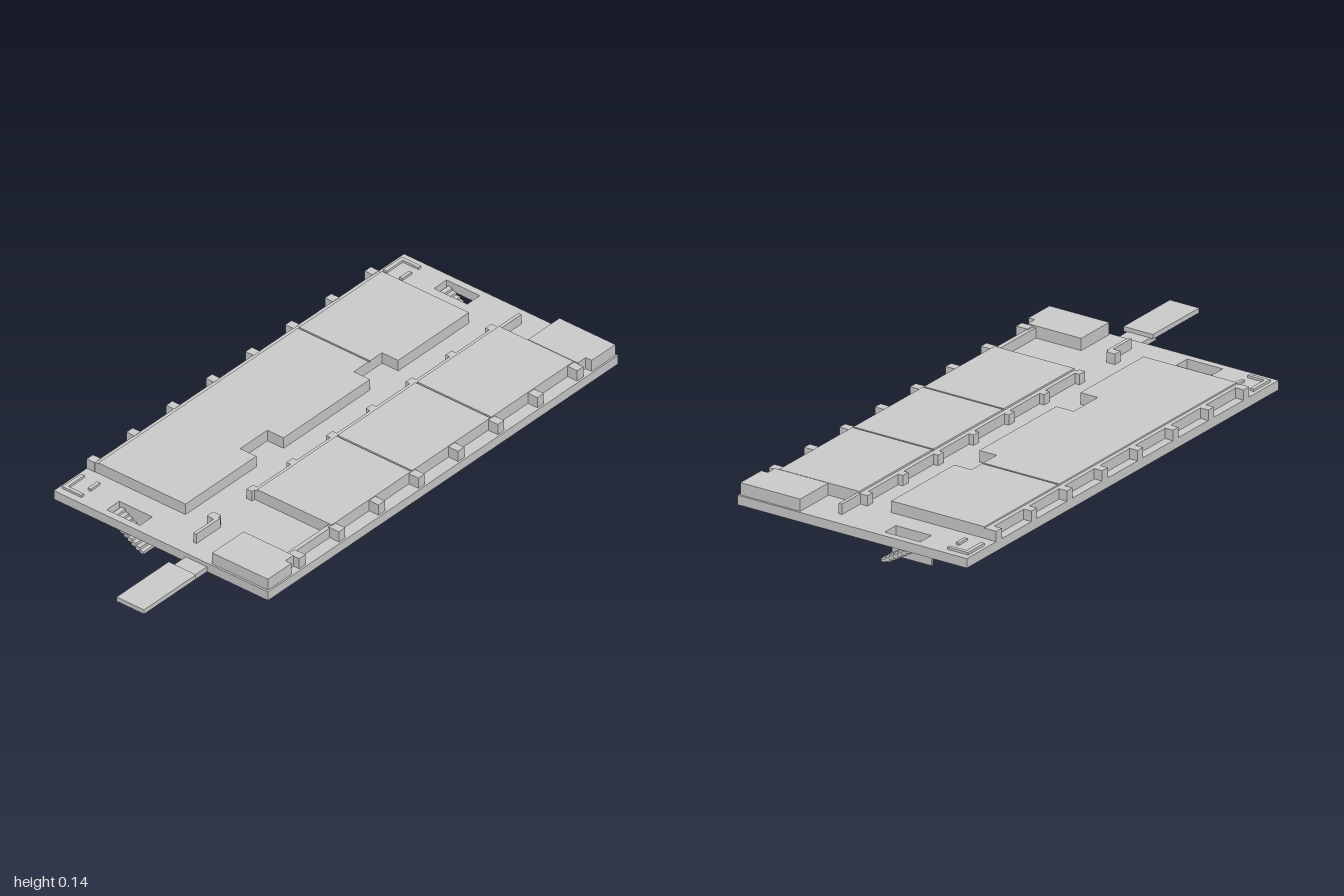
import * as THREE from 'three';

export function createModel() {
  const root = new THREE.Group();
  root.name = 'buildingFloor';
  const mat = new THREE.MeshStandardMaterial({ color: 0xcccccc, flatShading: true });
  const MID = 0.16; // mirror plane of the two ends
  const FLOOR = 0.102;

  const add = (name, geo, parent = root) => {
    const m = new THREE.Mesh(geo, mat);
    m.name = name;
    parent.add(m);
    return m;
  };
  const box = (name, x0, x1, y0, y1, z0, z1, parent) => {
    const g = new THREE.BoxGeometry(x1 - x0, y1 - y0, z1 - z0);
    g.translate((x0 + x1) / 2, (y0 + y1) / 2, (z0 + z1) / 2);
    return add(name, g, parent);
  };
  // box at the +x end (side 1) or its mirror image (side -1)
  const endBox = (side, name, x0, x1, ...rest) =>
    side > 0 ? box(name, x0, x1, ...rest) : box(name, 2 * MID - x1, 2 * MID - x0, ...rest);
  // plan outline in (x, z), extruded upwards
  const slab = (name, outline, y0, y1, holes = []) => {
    const flip = (pts) => pts.map(([x, z]) => new THREE.Vector2(x, -z));
    const shape = new THREE.Shape(flip(outline));
    holes.forEach((h) => shape.holes.push(new THREE.Path(flip(h))));
    const g = new THREE.ExtrudeGeometry(shape, { depth: y1 - y0, bevelEnabled: false });
    g.rotateX(-Math.PI / 2);
    g.translate(0, y0, 0);
    return add(name, g);
  };
  const rect = (x0, x1, z0, z1) => [[x0, z0], [x0, z1], [x1, z1], [x1, z0]];

  // floor plate with the two stair openings
  slab('floorPlate', rect(-0.68, 1, -0.43, 0.43), 0.07, FLOOR,
    [rect(0.915, 0.975, -0.238, -0.105), rect(-0.655, -0.595, -0.238, -0.105)]);

  // rear block with two recesses along the corridor
  slab('rearBlock', [
    [-0.52, -0.4], [-0.52, -0.035], [-0.18, -0.035], [-0.18, -0.1], [-0.05, -0.1], [-0.05, -0.035],
    [0.365, -0.035], [0.365, -0.1], [0.5, -0.1], [0.5, -0.035], [0.84, -0.035], [0.84, -0.4],
  ], FLOOR, 0.136);
  slab('rearRoofLeft', [
    [0.443, -0.385], [0.443, -0.1], [0.5, -0.1], [0.5, -0.035], [0.84, -0.035], [0.84, -0.385],
  ], 0.136, 0.141);
  slab('rearRoofRight', [
    [-0.52, -0.385], [-0.52, -0.035], [-0.18, -0.035], [-0.18, -0.1], [-0.05, -0.1], [-0.05, -0.035],
    [0.365, -0.035], [0.365, -0.1], [0.437, -0.1], [0.437, -0.385],
  ], 0.136, 0.141);

  // front block with three roof panels, and the wall that runs on past it
  box('frontBlock', -0.32, 0.84, FLOOR, 0.137, 0.07, 0.385);
  [[-0.32, 0.06], [0.066, 0.44], [0.446, 0.84]].forEach(([a, b]) =>
    box('frontRoofPanel', a, b, 0.137, 0.143, 0.085, 0.385));
  box('frontWall', -0.54, -0.32, FLOOR, 0.137, 0.37, 0.385);

  // posts along the three long walls
  for (let i = 0; i < 8; i++) {
    const x = -0.507 + i * 0.1905;
    box('rearPost', x - 0.015, x + 0.015, FLOOR, 0.137, -0.43, -0.398);
    box('frontPost', x - 0.015, x + 0.015, FLOOR, 0.14, 0.38, 0.423);
    box('corridorPost', x - 0.015, x + 0.015, FLOOR, 0.137, 0.053, i ? 0.075 : 0.085);
  }

  // parts repeated at both ends
  for (const side of [1, -1]) {
    endBox(side, 'cornerBlock', 0.842, 0.993, FLOOR, 0.143, 0.2, 0.4);
    endBox(side, 'cornerFront', 0.88, 0.993, FLOOR, 0.143, 0.4, 0.424);
    endBox(side, 'screenWall', 0.825, 0.94, FLOOR, 0.137, 0.08, 0.092);
    // low L-shaped kerb at the rear corner
    endBox(side, 'rearKerb', 0.885, 0.975, FLOOR, 0.11, -0.417, -0.403);
    endBox(side, 'sideKerb', 0.962, 0.975, FLOOR, 0.11, -0.403, -0.34);
    endBox(side, 'innerKerb', 0.885, 0.93, FLOOR, 0.11, -0.352, -0.34);

    // stairs rising to the rear, with a panel on the inner side
    endBox(side, 'stairPanel', 0.905, 0.915, 0, 0.085, -0.238, -0.09);
    const steps = 9;
    for (let i = 0; i < steps; i++) {
      const z = -0.09 - i * 0.0155, y = (i + 1) * 0.0092;
      endBox(side, 'stairTread', 0.915, 0.975, Math.max(0, y - 0.014), y, z - 0.0175, z);
    }
  }

  // arm reaching out from the right end
  box('armLink', -0.78, -0.66, 0.07, 0.088, 0.1, 0.185);
  box('armPlate', -1, -0.75, 0.086, 0.102, 0.09, 0.2);

  return root;
}
